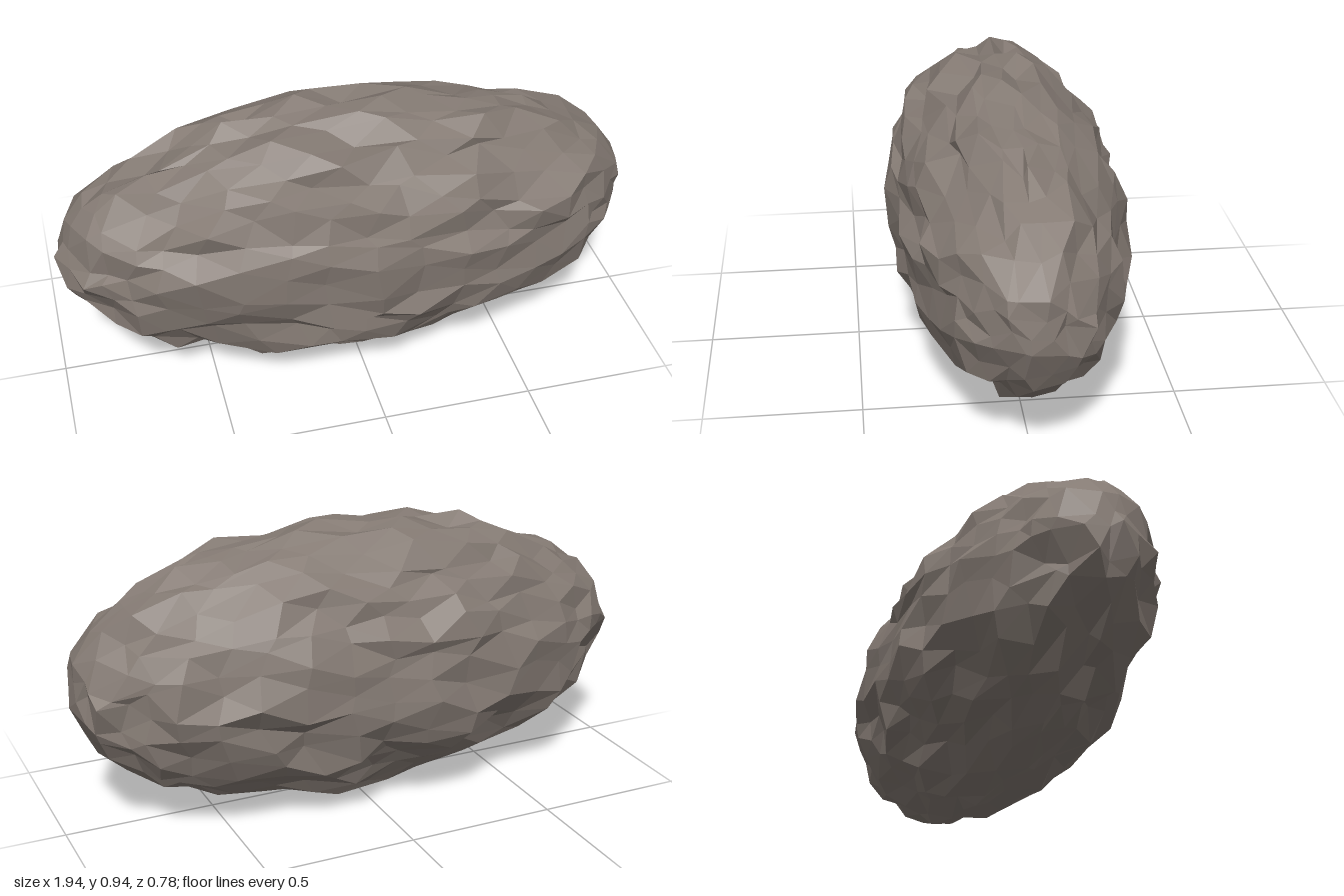
import * as THREE from 'three';
import { mergeVertices } from 'three/addons/utils/BufferGeometryUtils.js';

// Small seeded generator returning well mixed values in -1..1
function seeded(seed) {
  let s = seed;
  return () => {
    s = (s + 0x6d2b79f5) | 0;
    let t = Math.imul(s ^ (s >>> 15), 1 | s);
    t = (t + Math.imul(t ^ (t >>> 7), 61 | t)) ^ t;
    return ((t ^ (t >>> 14)) >>> 0) / 2147483648 - 1;
  };
}

export function createModel() {
  const rockMaterial = new THREE.MeshStandardMaterial({ color: 0x857b74 });
  rockMaterial.name = 'warm grey stone';
  rockMaterial.flatShading = true;

  // Weld a subdivided icosahedron so shared corners move together
  let geometry = new THREE.IcosahedronGeometry(1, 6);
  geometry.deleteAttribute('normal');
  geometry.deleteAttribute('uv');
  geometry = mergeVertices(geometry, 1e-4);

  // Lay the corners on a long ellipsoid, then jitter each equally in all directions
  const semiAxes = new THREE.Vector3(0.975, 0.453, 0.37);
  const centreY = 0.478;
  const roughness = 0.028;
  const rand = seeded(7);
  const pos = geometry.attributes.position;
  const v = new THREE.Vector3();
  const jitter = new THREE.Vector3();
  for (let i = 0; i < pos.count; i++) {
    jitter.set(rand(), rand(), rand()).multiplyScalar(roughness);
    v.fromBufferAttribute(pos, i).multiply(semiAxes).add(jitter);
    pos.setXYZ(i, v.x, v.y + centreY, v.z);
  }

  // Separate faces for crisp facets
  geometry = geometry.toNonIndexed();
  geometry.computeVertexNormals();

  const rock = new THREE.Mesh(geometry, rockMaterial);
  rock.name = 'rockBody';
  const group = new THREE.Group();
  group.name = 'rock';
  group.add(rock);
  return group;
}
